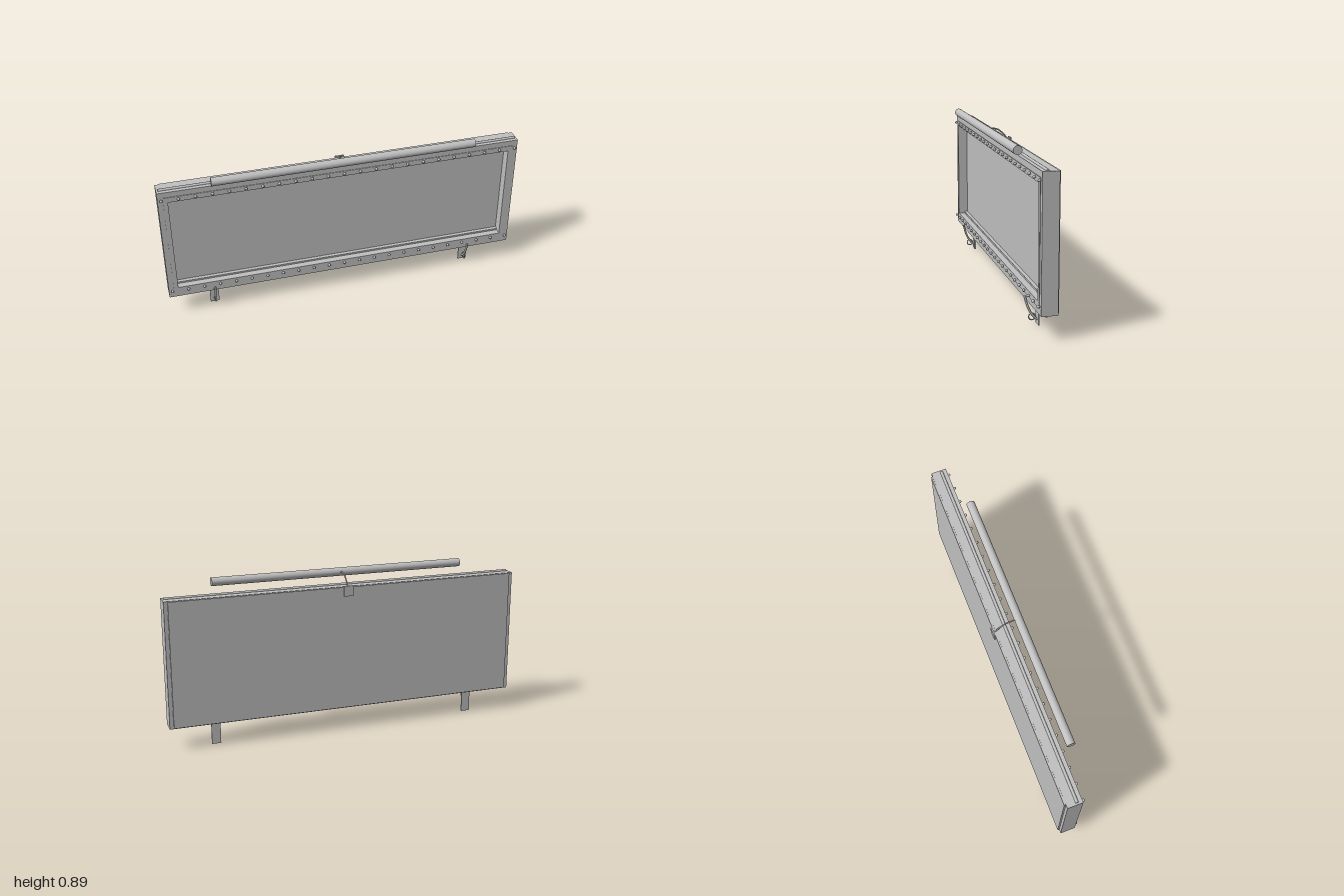
import * as THREE from 'three';

const grey = new THREE.MeshStandardMaterial({ color: 0xc0c0c0 });
grey.name = 'plain grey';

export function createModel() {
  const model = new THREE.Group();
  model.name = 'litSignBox';

  const add = (name, geometry, x = 0, y = 0, z = 0, parent = model) => {
    const mesh = new THREE.Mesh(geometry, grey);
    mesh.name = name;
    mesh.position.set(x, y, z);
    parent.add(mesh);
    return mesh;
  };

  // Box given by its limits on each axis
  const block = (name, x0, x1, y0, y1, z0, z1, parent = model) =>
    add(name, new THREE.BoxGeometry(x1 - x0, y1 - y0, z1 - z0),
      (x0 + x1) / 2, (y0 + y1) / 2, (z0 + z1) / 2, parent);

  // Rectangular ring, extruded from z0 to z1
  const ring = (name, w, y0, y1, wi, yi0, yi1, z0, z1) => {
    const rect = (P, a, b, c) =>
      new P([[-a, b], [a, b], [a, c], [-a, c]].map(p => new THREE.Vector2(...p)));
    const shape = rect(THREE.Shape, w, y0, y1);
    shape.holes.push(rect(THREE.Path, wi, yi0, yi1));
    add(name, new THREE.ExtrudeGeometry(shape, { depth: z1 - z0, bevelEnabled: false }), 0, 0, z0);
  };

  // Cylinder lying along x
  const rod = (name, r, length, y, z, sides) =>
    add(name, new THREE.CylinderGeometry(r, r, length, sides).rotateZ(Math.PI / 2), 0, y, z);

  // Curved bar through points given as [z, y]
  const bentBar = (name, points, r, parent = model) => {
    const curve = new THREE.CatmullRomCurve3(points.map(([z, y]) => new THREE.Vector3(0, y, z)));
    const bar = add(name, new THREE.TubeGeometry(curve, 20, r, 8), 0, 0, 0, parent);
    for (const t of [0, 1]) {
      const cap = add(name + 'End', new THREE.SphereGeometry(r, 8, 6), 0, 0, 0, parent);
      cap.position.copy(curve.getPoint(t));
    }
    return bar;
  };

  // Deep housing, front cover frame and panels
  ring('housing', 0.998, 0.123, 0.817, 0.945, 0.185, 0.755, -0.067, 0.017);
  ring('coverFrame', 0.97, 0.155, 0.785, 0.945, 0.185, 0.755, 0.017, 0.02);
  block('displayPanel', -0.945, 0.945, 0.185, 0.755, -0.067, -0.035);
  block('backPanel', -0.977, 0.977, 0.128, 0.815, -0.076, -0.067);

  // Slim rails inside the recess
  block('upperRail', -0.945, 0.945, 0.744, 0.755, -0.035, -0.015);
  block('lowerRail', -0.945, 0.945, 0.185, 0.195, -0.035, -0.015);

  // Rods along the top and bottom edges
  rod('topRod', 0.008, 1.976, 0.818, -0.012, 12);
  rod('bottomRod', 0.008, 1.976, 0.122, -0.012, 12);

  // Rows of round-headed studs
  const head = new THREE.SphereGeometry(0.008, 12, 8);
  const stem = new THREE.CylinderGeometry(0.004, 0.004, 0.012, 8).rotateX(Math.PI / 2);
  for (const y of [0.168, 0.773]) {
    for (let i = -11; i <= 11; i++) {
      add('studHead', head, i * 0.089, y, 0.027);
      add('studStem', stem, i * 0.089, y, 0.02);
    }
  }

  // Lamp tube on its arm and rear clip
  rod('lampTube', 0.023, 1.44, 0.871, 0.062, 32);
  bentBar('lampArm', [[0.05, 0.874], [0.02, 0.874], [-0.01, 0.868],
    [-0.038, 0.847], [-0.06, 0.823], [-0.077, 0.806]], 0.004);
  block('lampClip', -0.025, 0.025, 0.766, 0.823, -0.084, -0.076);

  // Hanging tabs with a curved lever and a ring
  for (const side of [-1, 1]) {
    const tab = new THREE.Group();
    tab.name = side < 0 ? 'rightTab' : 'leftTab';
    tab.position.x = side * 0.745;
    model.add(tab);
    block('tabPlate', -0.025, 0.025, 0, 0.125, -0.041, -0.034, tab);
    bentBar('lever', [[0.03, 0.148], [0.02, 0.11], [0.006, 0.075],
      [-0.012, 0.046], [-0.033, 0.025]], 0.006, tab);
    add('leverRing', new THREE.TorusGeometry(0.017, 0.003, 8, 24).rotateY(Math.PI / 2),
      0, 0.04, -0.008, tab);
  }

  return model;
}
